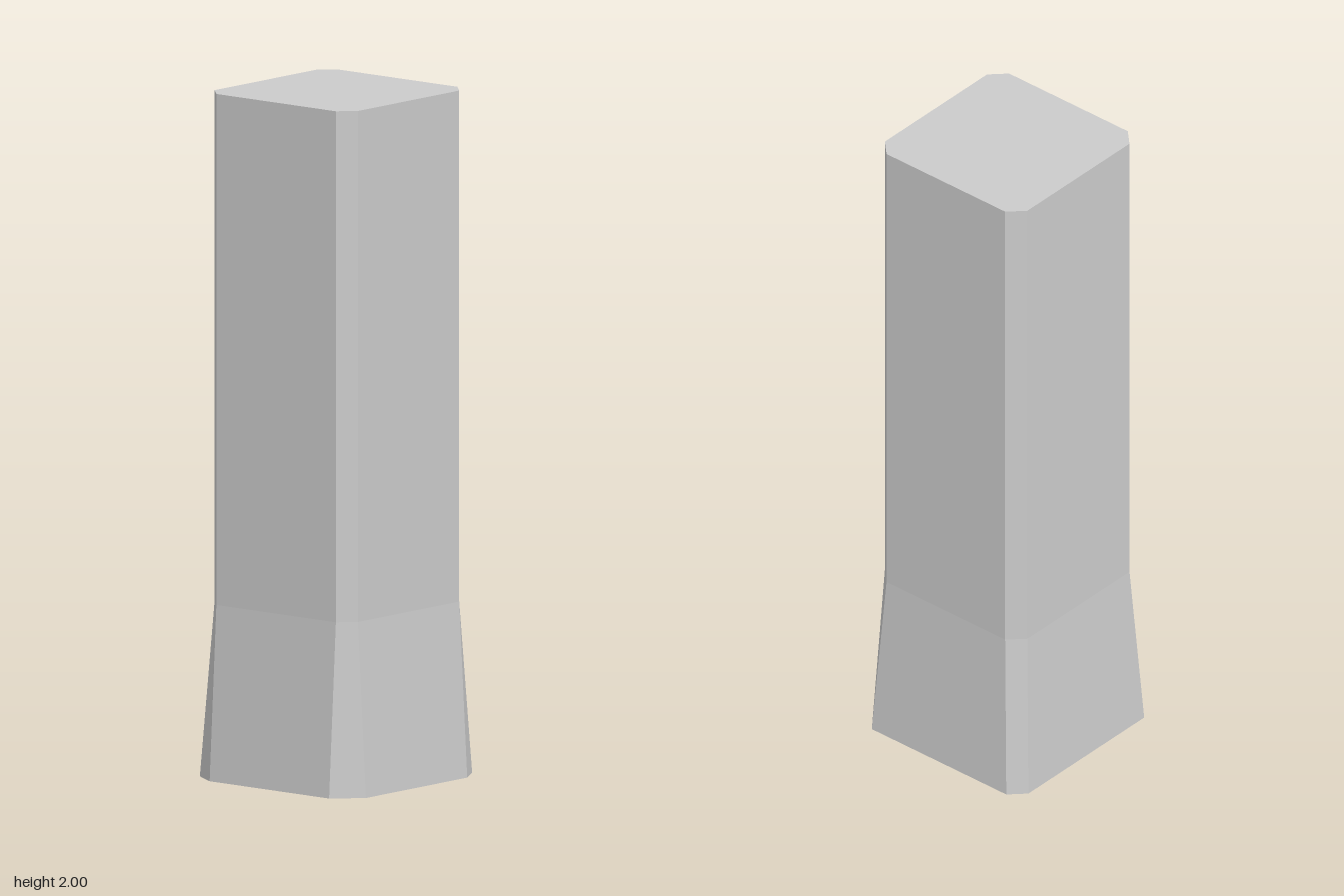
import * as THREE from 'three';

// Chamfered-square outlines as [x, z], counter-clockwise seen from above
const foot = [
  [0.3, 0.225], [0.3, -0.225], [0.255, -0.3], [-0.255, -0.3],
  [-0.3, -0.255], [-0.3, 0.255], [-0.225, 0.3], [0.225, 0.3],
];
const shaft = [
  [0.27, 0.225], [0.27, -0.225], [0.225, -0.27], [-0.225, -0.27],
  [-0.27, -0.225], [-0.27, 0.225], [-0.225, 0.27], [0.225, 0.27],
];

const material = new THREE.MeshStandardMaterial({
  color: 0xcccccc, flatShading: true, side: THREE.DoubleSide,
});

function makeMesh(name, positions) {
  const geometry = new THREE.BufferGeometry();
  geometry.setAttribute('position', new THREE.Float32BufferAttribute(positions.flat(), 3));
  geometry.computeVertexNormals();
  const mesh = new THREE.Mesh(geometry, material);
  mesh.name = name;
  return mesh;
}

const ring = (outline, y) => outline.map(([x, z]) => [x, y, z]);

// Side walls between two outlines, open at both ends
function walls(name, lower, upper) {
  const triangles = [];
  lower.forEach((a, i) => {
    const j = (i + 1) % lower.length;
    triangles.push(a, lower[j], upper[i], lower[j], upper[j], upper[i]);
  });
  return makeMesh(name, triangles);
}

// Flat lid facing up
function lid(name, outline) {
  const triangles = [];
  for (let i = 1; i < outline.length - 1; i++) {
    triangles.push(outline[0], outline[i], outline[i + 1]);
  }
  return makeMesh(name, triangles);
}

export function createModel() {
  const group = new THREE.Group();
  group.name = 'pillar';
  const bottom = ring(foot, 0);
  const waist = ring(shaft, 0.51);
  const top = ring(shaft, 2);
  // Flared base, open underneath
  group.add(walls('flaredBase', bottom, waist));
  // Straight shaft and its flat top
  group.add(walls('shaft', waist, top));
  group.add(lid('topCap', top));
  return group;
}
